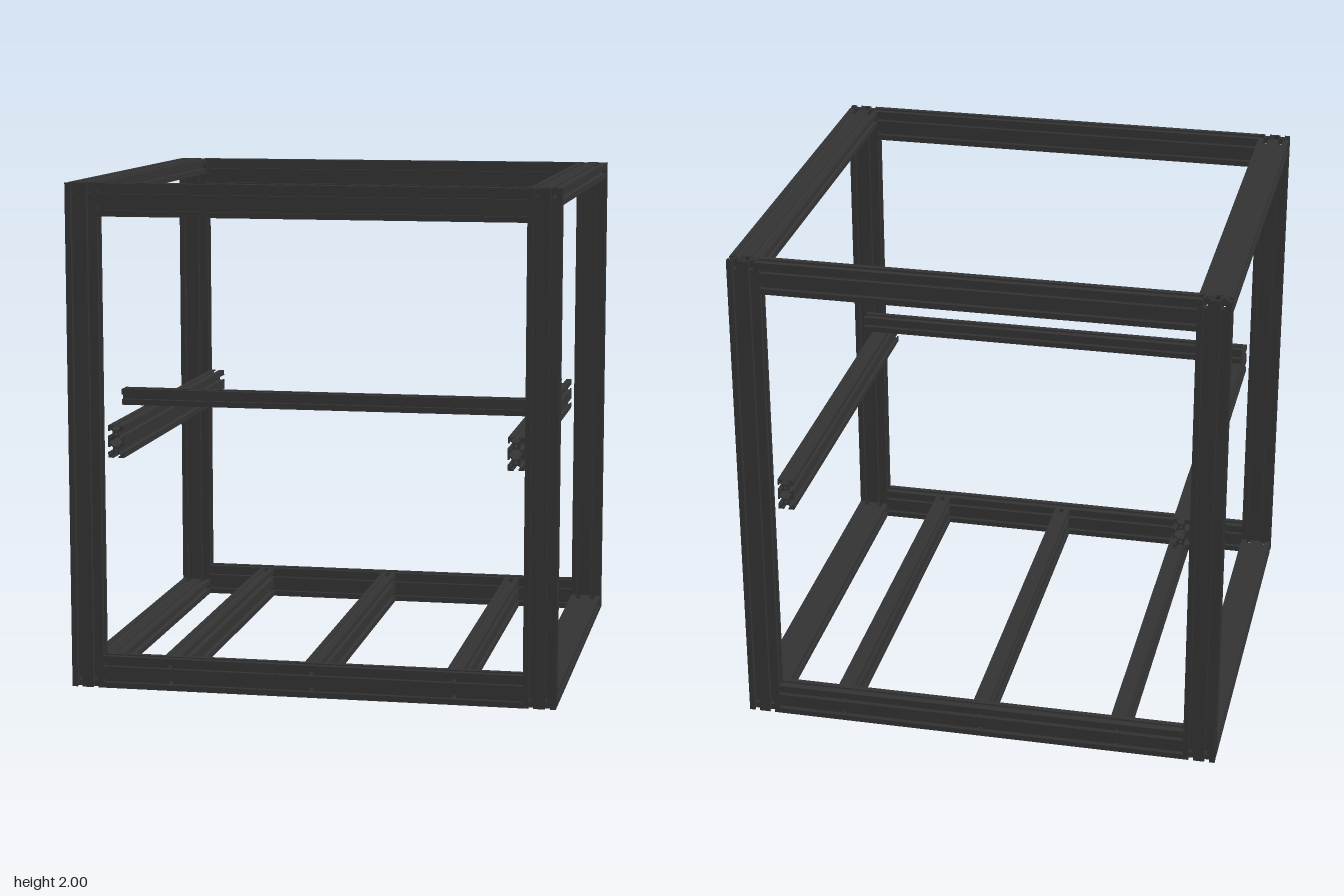
import * as THREE from 'three';
import { mergeGeometries } from 'three/addons/utils/BufferGeometryUtils.js';

const MM = 0.003215; // profile drawn in millimetres (20 mm per slot cell)
const AXES = {
  x: new THREE.Vector3(1, 0, 0),
  y: new THREE.Vector3(0, 1, 0),
  z: new THREE.Vector3(0, 0, 1),
};

// Corner of a slotted cell: lips, corner block and diagonal web
const CORNER = [
  [4, 2.94], [6.56, 5.5], [8.2, 5.5], [8.2, 3], [10, 3], [10, 10],
  [3, 10], [3, 8.2], [5.5, 8.2], [5.5, 6.56], [2.94, 4],
];
// Wall joining two cells, from the centre of the lower cell
const WALL = [
  [4, 2.94], [6.56, 5.5], [8.2, 5.5], [8.2, 3], [10, 3], [10, 17], [8.2, 17],
  [8.2, 14.5], [6.56, 14.5], [4, 17.06], [2.94, 16], [8.2, 10.74], [8.2, 9.26], [2.94, 4],
];

const shapeOf = (pts, sx, sy, dy) =>
  new THREE.Shape(pts.map(([x, y]) => new THREE.Vector2(x * sx, y * sy + dy)));

const rect = (x0, x1, y0, y1) =>
  shapeOf([[x0, y0], [x1, y0], [x1, y1], [x0, y1]], 1, 1, 0);

function extrude(shape, from, to) {
  const g = new THREE.ExtrudeGeometry(shape, { depth: to - from, bevelEnabled: false, curveSegments: 6 });
  return g.translate(0, 0, from);
}

// Slotted bar along local z; a = local x, b = local y (the wide direction).
// holes: [{ at, along }] cross-drilled through the cores along 'a', 'b' or 'ab'.
function barGeometry(length, cells, holes) {
  const half = length / 2, parts = [], r = 2.5;
  const centres = cells === 2 ? [-10, 10] : [0];

  for (const cy of centres) {
    for (const sx of [-1, 1]) {
      for (const sy of [-1, 1]) {
        if (cells === 2 && sy * cy < 0) continue; // joined side has a wall instead
        parts.push(extrude(shapeOf(CORNER, sx, sy, cy), -half, half));
      }
    }
    // Bored core, interrupted at each drilled hole
    const core = rect(-4, 4, cy - 4, cy + 4);
    core.holes.push(new THREE.Path().absarc(0, cy, 2.1, 0, Math.PI * 2, true));
    let start = -half;
    for (const { at, along } of [...holes].sort((p, q) => p.at - q.at)) {
      parts.push(extrude(core, start, at - r));
      for (const s of [-1, 1]) {
        const lo = s > 0 ? r : -4, hi = s > 0 ? 4 : -r;
        if (along === 'b') parts.push(extrude(rect(lo, hi, cy - 4, cy + 4), at - r, at + r));
        if (along === 'a') parts.push(extrude(rect(-4, 4, cy + lo, cy + hi), at - r, at + r));
      }
      start = at + r;
    }
    parts.push(extrude(core, start, half));
  }
  if (cells === 2) {
    for (const sx of [-1, 1]) parts.push(extrude(shapeOf(WALL, sx, 1, -10), -half, half));
  }
  return mergeGeometries(parts);
}

export function createModel() {
  const model = new THREE.Group();
  model.name = 'extrusionFrame';
  const metal = new THREE.MeshStandardMaterial({ color: 0x333333 });
  metal.name = 'blackAnodisedMetal';

  // wide: axis of the profile's wide side, run: axis of the length
  function bar(name, run, wide, length, position, cells = 2, holes = []) {
    const c = AXES[run], b = AXES[wide], a = b.clone().cross(c);
    const g = barGeometry(length / MM, cells, holes);
    g.scale(MM, MM, MM).applyMatrix4(new THREE.Matrix4().makeBasis(a, b, c));
    const mesh = new THREE.Mesh(g, metal);
    mesh.name = name;
    mesh.position.set(...position);
    model.add(mesh);
  }

  const U = 20 * MM;                 // one cell
  const postX = 0.965 - U, endZ = 0.907 - U / 2;
  const spanX = 2 * (0.965 - 2 * U), spanZ = 2 * (0.907 - U);
  const barX = 0.566;

  // Access holes near both ends of the posts
  const end = 1 / MM;
  const postHoles = [-1, 1].flatMap((s) => [
    { at: s * (end - 10), along: 'ab' },
    { at: s * (end - 30), along: 'b' },
  ]);
  const railHoles = [-barX, 0, barX].map((x) => ({ at: x / MM, along: 'a' }));

  for (const sz of [1, -1]) {
    const face = sz > 0 ? 'front' : 'back';
    for (const sx of [1, -1]) {
      bar(face + (sx > 0 ? 'Left' : 'Right') + 'Post', 'y', 'x', 2, [sx * postX, 1, sz * endZ], 2, postHoles);
    }
    bar(face + 'BottomRail', 'x', 'y', spanX, [0, U, sz * endZ], 2, railHoles);
    bar(face + 'TopRail', 'x', 'y', spanX, [0, 2 - U, sz * endZ]);
  }

  for (const sx of [1, -1]) {
    const side = sx > 0 ? 'left' : 'right';
    bar(side + 'BottomRail', 'z', 'x', spanZ, [sx * postX, U / 2, 0]);
    bar(side + 'TopRail', 'z', 'x', spanZ, [sx * postX, 2 - U / 2, 0]);
    // Inner carriage rails at mid height
    bar(side + 'CarriageRail', 'z', 'y', 1.67, [sx * 0.793, 0.979, 0]);
  }

  // Floor beams
  for (const x of [-barX, 0, barX]) bar('floorBeam', 'z', 'y', spanZ, [x, U, 0]);

  // Single-cell gantry bar
  bar('gantryBar', 'x', 'y', spanX, [0, 1.122, 0.56], 1);

  return model;
}
